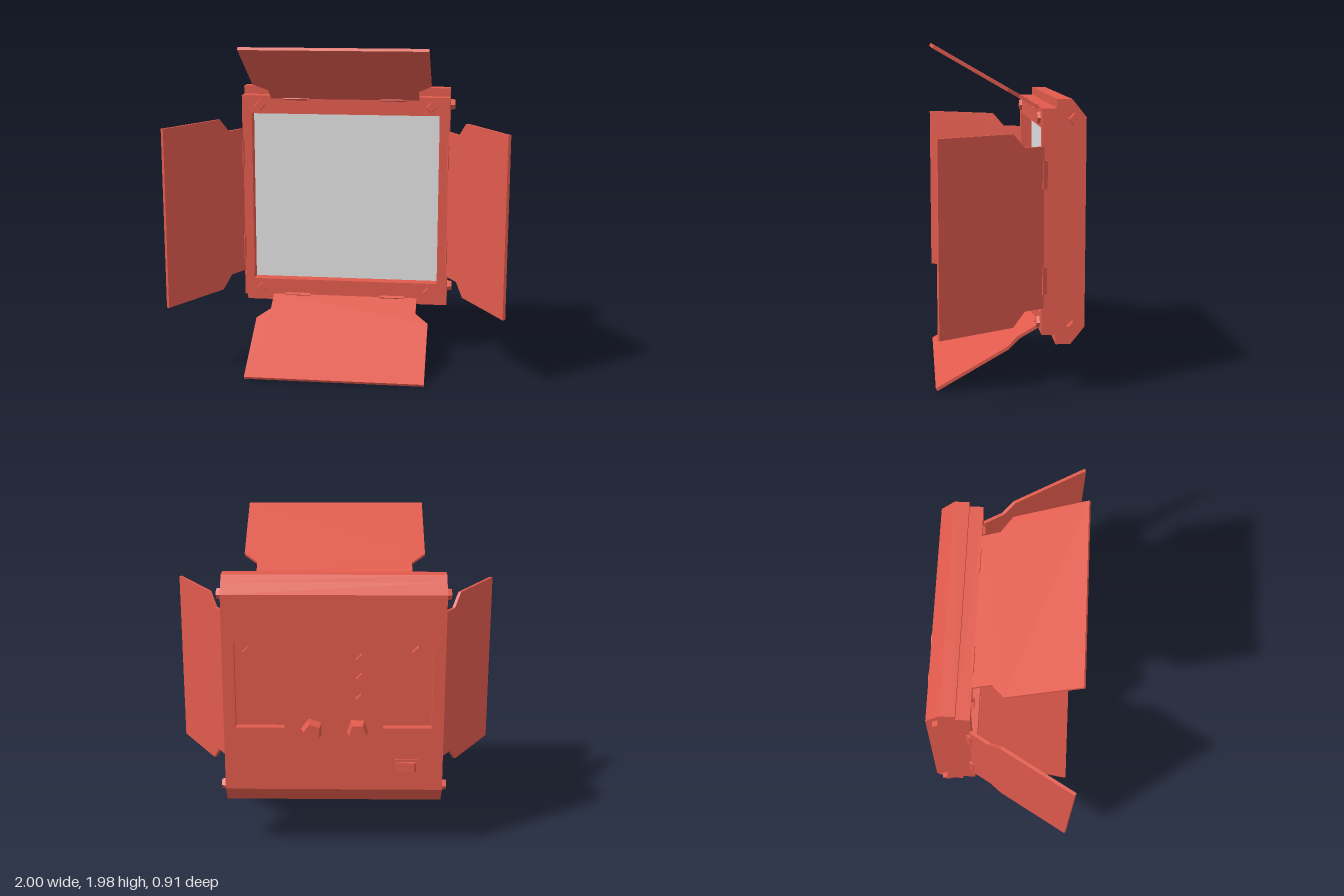
import * as THREE from 'three';

const red = new THREE.MeshStandardMaterial({ color: 0xe05a4c });
red.name = 'red housing';
const grey = new THREE.MeshStandardMaterial({ color: 0xe0e0e0 });
grey.name = 'pale diffuser';

const MID = 0.99; // height of the housing centre
const W = 0.645; // half width of the housing

function add(parent, name, geometry, material = red) {
  const mesh = new THREE.Mesh(geometry, material);
  mesh.name = name;
  parent.add(mesh);
  return mesh;
}

const polygon = (pts) => new THREE.Shape(pts.map(([x, y]) => new THREE.Vector2(x, y)));

function rect(x0, y0, x1, y1) {
  return polygon([[x0, y0], [x1, y0], [x1, y1], [x0, y1]]);
}

function extrude(shape, depth) {
  return new THREE.ExtrudeGeometry(shape, { depth, bevelEnabled: false });
}

// Prism along x from a [z, y] profile, centred on x = 0
function prismX(pts, x0, x1) {
  const g = extrude(polygon(pts.map(([z, y]) => [-z, y])), x1 - x0);
  return g.rotateY(Math.PI / 2).translate(x0, 0, 0);
}

// Plate facing z with rectangular holes
function plate(outer, holes, z0, z1) {
  const shape = rect(...outer);
  shape.holes = holes.map((h) => rect(...h));
  return extrude(shape, z1 - z0).translate(0, 0, z0);
}

// Faceted tapered stud standing out from a surface point along a direction
function stud(parent, name, sides, base, tip, height, pos, dir, spin = 0) {
  const g = new THREE.CylinderGeometry(tip, base, height, sides).toNonIndexed();
  g.rotateY(spin).translate(0, height / 2, 0);
  g.computeVertexNormals();
  const mesh = add(parent, name, g);
  if (dir[2]) mesh.rotation.x = dir[2] * Math.PI / 2;
  else mesh.rotation.z = -dir[0] * Math.PI / 2;
  mesh.position.set(...pos);
}

// Hinged light flap; local y points outward from the housing
function barnDoor(name, x, y, z, turn) {
  const door = new THREE.Group();
  door.name = name;
  const tilt = new THREE.Group();
  tilt.rotation.x = Math.PI / 3;
  door.add(tilt);
  const outline = polygon([
    [-0.458, 0], [0.458, 0], [0.458, 0.13], [0.538, 0.21],
    [0.538, 0.687], [-0.538, 0.687], [-0.538, 0.21], [-0.458, 0.13],
  ]);
  add(tilt, 'flap', extrude(outline, 0.018).translate(0, 0, -0.009));
  for (const s of [-1, 1]) {
    add(tilt, 'hinge', new THREE.BoxGeometry(0.157, 0.03, 0.03)).position.set(s * 0.3, -0.005, 0);
  }
  door.position.set(x, y, z);
  door.rotation.z = turn;
  return door;
}

export function createModel() {
  const model = new THREE.Group();
  model.name = 'studioLightPanel';

  // Housing: core, front frame, back plate with two pockets
  const housing = new THREE.Group();
  housing.name = 'housing';
  model.add(housing);
  add(housing, 'core', prismX([
    [-0.22, 0.295], [-0.22, 1.685], [-0.305, 1.685],
    [-0.335, 1.648], [-0.335, 0.332], [-0.305, 0.295],
  ], -W, W));
  add(housing, 'frontFrame', plate([-W, 0.35, W, 1.635], [[-0.583, 0.457, 0.583, 1.523]], -0.22, -0.14));
  const pockets = [-1, 1].map((s) => [s * 0.432 - 0.143, 0.785, s * 0.432 + 0.143, 1.305]);
  add(housing, 'backPlate', plate([-W, 0.395, W, 1.585], pockets, -0.385, -0.335));
  add(housing, 'upperBackBevel', prismX([[-0.335, 1.585], [-0.335, 1.648], [-0.385, 1.585]], -W, W));
  add(housing, 'lowerBackBevel', prismX([[-0.335, 0.332], [-0.335, 0.395], [-0.385, 0.395]], -W, W));

  // Diffuser
  add(model, 'diffuser', new THREE.BoxGeometry(1.166, 1.066, 0.008), grey).position.set(0, MID, -0.215);

  // Corner screws on the front and sides, and a socket in each back pocket
  for (const s of [-1, 1]) {
    for (const y of [0.4, 1.575]) {
      stud(model, 'frontScrew', 4, 0.035, 0.03, 0.018, [s * 0.53, y, -0.14], [0, 0, 1]);
      stud(model, 'sideScrew', 4, 0.035, 0.03, 0.028, [s * W, y, -0.315], [s, 0, 0]);
    }
    stud(model, 'pocketSocket', 4, 0.038, 0.036, 0.03, [s * 0.49, 1.24, -0.335], [0, 0, -1]);
  }

  // Back controls: buttons, dials and rocker switch
  for (const y of [1.208, 1.09, 0.968]) {
    stud(model, 'button', 4, 0.035, 0.03, 0.016, [-0.16, y, -0.385], [0, 0, -1]);
  }
  stud(model, 'dial', 5, 0.067, 0.052, 0.07, [0.125, 0.78, -0.385], [0, 0, -1], 0.3);
  stud(model, 'dial', 5, 0.067, 0.052, 0.07, [-0.14, 0.78, -0.385], [0, 0, -1], Math.PI);
  add(model, 'switchBase', new THREE.BoxGeometry(0.136, 0.08, 0.01)).position.set(-0.432, 0.55, -0.39);
  const rocker = polygon([[-0.49, 0.39], [-0.378, 0.39], [-0.365, 0.404], [-0.475, 0.424]]);
  add(model, 'rockerSwitch', extrude(rocker, 0.056).rotateX(-Math.PI / 2).translate(0, 0.522, 0));

  // Four barn doors
  model.add(
    barnDoor('topDoor', 0, 1.625, -0.14, 0),
    barnDoor('bottomDoor', 0, 0.352, -0.14, Math.PI),
    barnDoor('leftDoor', 0.648, 0.967, -0.145, -Math.PI / 2),
    barnDoor('rightDoor', -0.648, 0.967, -0.145, Math.PI / 2),
  );
  return model;
}
